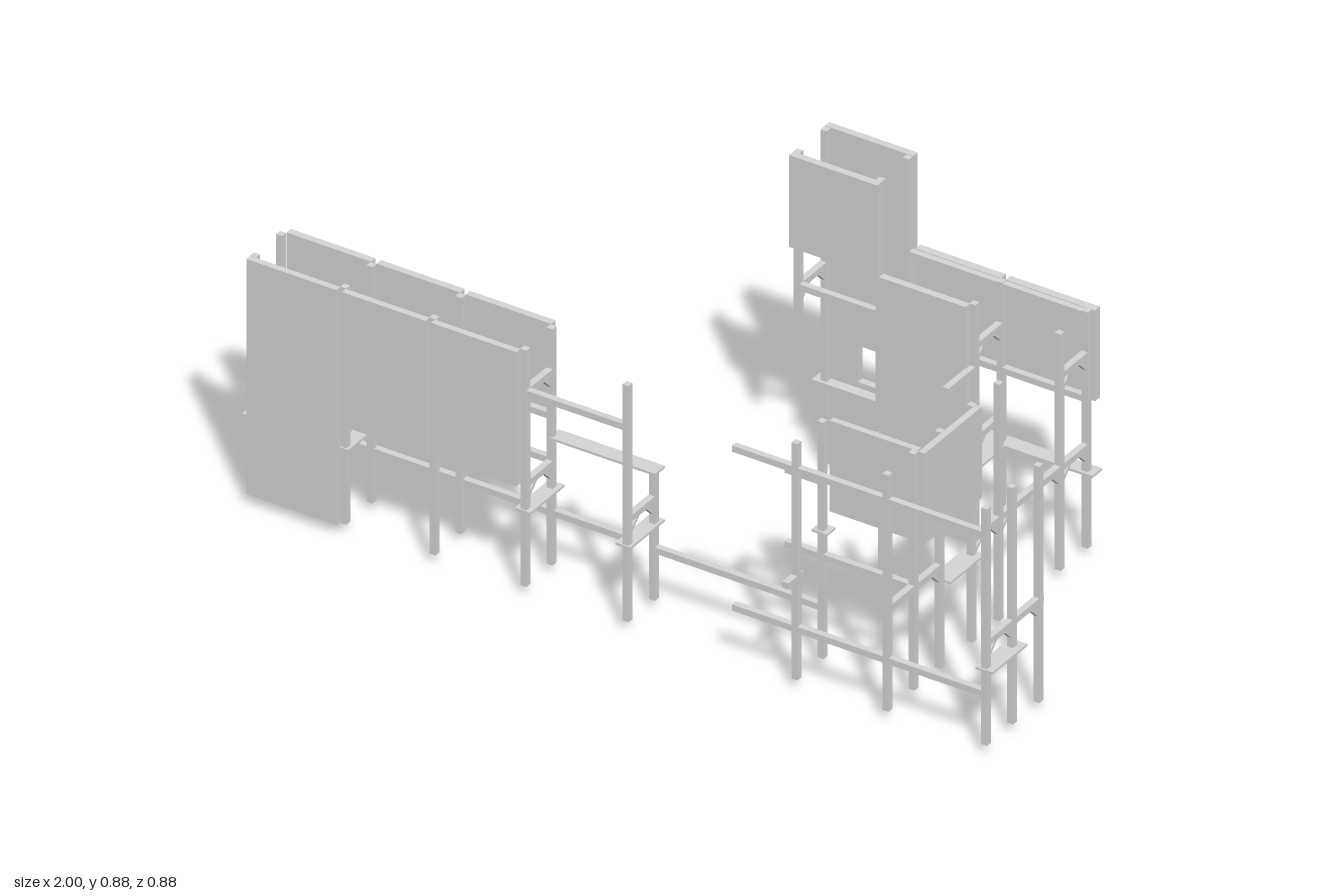
import * as THREE from 'three';

export function createModel() {
  const group = new THREE.Group();
  const grey = new THREE.MeshStandardMaterial({ color: 0xd6d6d6 });
  grey.name = 'lightGrey';
  const T = 0.016; // timber thickness

  // Box given by its minimum and maximum on each axis
  function box(name, x0, x1, y0, y1, z0, z1) {
    const mesh = new THREE.Mesh(new THREE.BoxGeometry(x1 - x0, y1 - y0, z1 - z0), grey);
    mesh.position.set((x0 + x1) / 2, (y0 + y1) / 2, (z0 + z1) / 2);
    mesh.name = name;
    group.add(mesh);
    return mesh;
  }
  const post = (x, z, top = 0.642, bottom = 0.025) =>
    box('post', x - T / 2, x + T / 2, bottom, top, z - T / 2, z + T / 2);
  const railX = (x0, x1, y, z) => box('rail', x0, x1, y - T / 2, y + T / 2, z - T / 2, z + T / 2);
  const railZ = (z0, z1, y, x) => box('tieBeam', x - T / 2, x + T / 2, y - T / 2, y + T / 2, z0, z1);
  const plank = (x0, x1, y, z0, z1) => box('plank', x0, x1, y - 0.003, y + 0.003, z0, z1);

  // Diagonal knee brace under a tie beam, leaning away from a post
  function brace(x, y, z, dir) {
    const m = box('kneeBrace', x - 0.006, x + 0.006, -0.021, 0.021, -0.004, 0.004);
    m.position.set(x, y - 0.021, z + dir * 0.014);
    m.rotation.x = dir * Math.PI / 4;
  }
  // Tie between two posts, braced at both ends
  function tie(x, z0, z1, y = 0.29) {
    railZ(z0, z1, y, x);
    brace(x, y, z0 + T / 2, 1);
    brace(x, y, z1 - T / 2, -1);
  }

  // Long front gallery
  const F = 0.398, B = 0.292;
  const bays = [-0.953, -0.715, -0.48, -0.24];
  for (const x of bays) {
    post(x, F);
    post(x, B);
    tie(x, B, F);
  }
  for (let i = 0; i < 3; i++) {
    const x0 = bays[i], x1 = bays[i + 1], gap = 0.007;
    box('frontPanel', x0 + (i ? gap : -gap), x1 - gap, i ? 0.292 : 0.028, 0.642, 0.407, 0.423);
    box('backPanel', x0 + gap, x1 - gap, 0.405, 0.642, 0.264, 0.282);
    railX(x0, x1, 0.297, F);
    railX(x0, x1, 0.297, B);
    railX(x0, x1, 0.413, B);
  }
  railX(-1, -0.05, 0.157, B - 0.006);
  plank(-0.98, -0.46, 0.222, 0.262, 0.305);
  plank(-0.98, -0.70, 0.222, 0.27, 0.41);
  plank(-0.26, -0.22, 0.222, 0.27, 0.41);

  // Open end bay of the gallery
  post(0.03, F);
  post(0.03, B, 0.355);
  tie(0.03, B, F);
  tie(-0.24, B, F, 0.53);
  railX(-0.24, 0.03, 0.53, F);
  plank(-0.24, 0.04, 0.356, 0.262, 0.302);
  plank(0.005, 0.045, 0.222, 0.27, 0.41);

  // Rear building posts and ties
  const RF = -0.302, RB = -0.412;
  for (const x of [0.026, 0.243, 0.49, 0.715]) {
    const top = x < 0.3 ? 0.88 : 0.642;
    post(x, RB, top);
    post(x, RF, top, x < 0.1 ? 0.45 : 0.025);
    tie(x, RB, RF, 0.53);
    if (x > 0.1) tie(x, RB, RF);
  }
  railX(0.02, 0.25, 0.53, RF);
  railX(0.25, 0.72, 0.413, RB);
  railX(0.25, 0.72, 0.632, RB);
  plank(0, 0.74, 0.222, -0.436, -0.396);
  plank(0.24, 0.51, 0.222, -0.435, -0.275);

  // Tall rear panel with a window opening
  const wall = new THREE.Shape([[0.018, 0], [0.251, 0], [0.251, 0.88], [0.018, 0.88]]
    .map(p => new THREE.Vector2(...p)));
  wall.holes.push(new THREE.Path([[0.105, 0.24], [0.105, 0.335], [0.175, 0.335], [0.175, 0.24]]
    .map(p => new THREE.Vector2(...p))));
  const tallWall = new THREE.Mesh(
    new THREE.ExtrudeGeometry(wall, { depth: 0.018, bevelEnabled: false }), grey);
  tallWall.position.z = -0.44;
  tallWall.name = 'tallWindowPanel';
  group.add(tallWall);

  // Remaining rear building panels
  box('upperFrontPanel', 0.018, 0.251, 0.64, 0.88, -0.294, -0.276);
  box('largeFrontPanel', 0.255, 0.484, 0.028, 0.642, -0.294, -0.276);
  box('rearPanel', 0.258, 0.484, 0.405, 0.642, -0.44, -0.42);
  box('rearPanel', 0.496, 0.732, 0.405, 0.642, -0.44, -0.42);
  railZ(RF, -0.185, 0.473, 0.49);

  // Side run linking the rear building to the front corner
  const X = 0.715;
  for (const z of [F, B, 0.185, 0.055, -0.053]) post(X, z);
  railZ(RB, 0.055, 0.29, X);
  railZ(0.185, F, 0.29, X);
  for (const z of [0.055, -0.053, RF]) {
    brace(X, 0.29, z - T / 2, -1);
    if (z < 0) brace(X, 0.29, z + T / 2, 1);
  }
  brace(X, 0.29, 0.185 + T / 2, 1);
  plank(0.69, 0.74, 0.248, 0.04, 0.18);

  // Corner cabin panels
  box('cabinSidePanel', 0.724, 0.74, 0.405, 0.642, 0.052, 0.285);
  box('cabinFrontPanel', 0.488, 0.72, 0.405, 0.642, 0.268, 0.284);
  railZ(0.05, B, 0.413, X);
  railX(0.38, X, 0.29, B);
  railX(0.38, 0.48, 0.485, B);
  post(0.475, B);
  post(0.475, F);
  railZ(0.38, 0.443, 0.29, 0.475);
  box('cabinPost', 0.484, 0.502, 0.015, 0.405, 0.06, 0.08);
  brace(0.493, 0.29, 0.06, -1);
  plank(0.455, 0.495, 0.355, 0.27, 0.305);

  // Outer frame on the far side
  for (const z of [F, B, 0.185]) post(0.975, z);
  railZ(0.175, F + T / 2, 0.29, 0.975);
  tie(0.975, B, F);
  brace(0.975, 0.29, 0.185 + T / 2, 1);
  plank(0.955, 1, 0.222, 0.268, 0.41);

  // Long front rails and low link between the two wings
  railX(0.31, 0.98, 0.572, F);
  railX(0.31, 0.98, 0.157, F);
  railX(0.03, 0.48, 0.157, B);

  return group;
}
